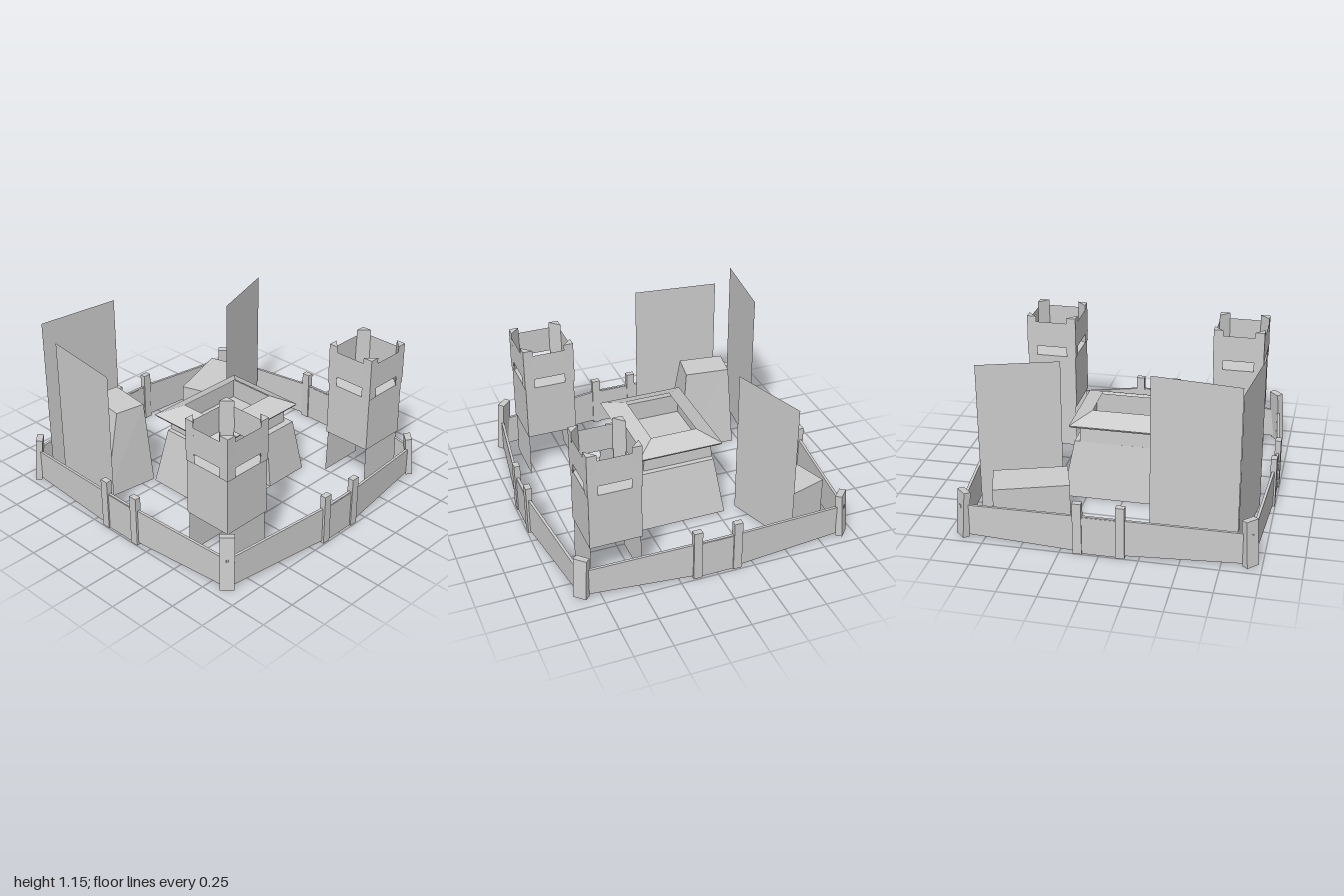
import * as THREE from 'three';

const mat = new THREE.MeshStandardMaterial({ color: 0xcccccc, flatShading: true, side: THREE.DoubleSide });

function add(parent, name, geo, x = 0, y = 0, z = 0, ry = 0) {
  const m = new THREE.Mesh(geo, mat);
  m.name = name;
  m.position.set(x, y, z);
  m.rotation.y = ry;
  parent.add(m);
  return m;
}

function group(parent, name, x = 0, z = 0, ry = 0) {
  const g = new THREE.Group();
  g.name = name;
  g.position.set(x, 0, z);
  g.rotation.y = ry;
  parent.add(g);
  return g;
}

const rect = (y, x0, x1, z0, z1) => [[x0, y, z1], [x1, y, z1], [x1, y, z0], [x0, y, z0]];

// Side faces between two four-cornered loops; skip lists open sides, cap closes the top
function loft(low, high, { skip = [], cap = false } = {}) {
  const p = [];
  const quad = (a, b, c, d) => p.push(...a, ...b, ...c, ...a, ...c, ...d);
  for (let i = 0; i < 4; i++) {
    const j = (i + 1) % 4;
    if (!skip.includes(i)) quad(low[i], low[j], high[j], high[i]);
  }
  if (cap) quad(...high);
  const g = new THREE.BufferGeometry();
  g.setAttribute('position', new THREE.Float32BufferAttribute(p, 3));
  g.computeVertexNormals();
  return g;
}

function polygon(points) {
  return new THREE.Shape(points.map(([x, y]) => new THREE.Vector2(x, y)));
}

// Wall between two ground points with a sloping top
function wall(parent, [x0, z0, h0], [x1, z1, h1]) {
  const len = Math.hypot(x1 - x0, z1 - z0);
  const shape = polygon([[0, 0.015], [len, 0.015], [len, h1], [0, h0]]);
  const geo = new THREE.ExtrudeGeometry(shape, { depth: 0.018, bevelEnabled: false });
  geo.translate(0, 0, -0.009);
  add(parent, 'wallSection', geo, x0, 0, z0, Math.atan2(z0 - z1, x1 - x0));
}

function perimeter(parent) {
  const g = group(parent, 'perimeterWall');
  // x, z, wall height, post height (corner posts and gate posts in order)
  const pts = [
    [-0.91, 0.87, 0.22, 0.37], [-0.135, 0.975, 0.26, 0.35], [0.135, 0.975, 0.26, 0.35],
    [0.89, 0.87, 0.195, 0.28], [0.972, 0.135, 0.26, 0.35], [0.972, -0.135, 0.26, 0.35],
    [0.9, -0.92, 0.22, 0.31], [0.135, -0.98, 0.26, 0.35], [-0.135, -0.98, 0.26, 0.35],
    [-0.93, -0.91, 0.22, 0.31], [-0.978, -0.135, 0.26, 0.35], [-0.978, 0.135, 0.26, 0.35],
  ];
  pts.forEach((p, i) => {
    const [x, z, , h] = p;
    wall(g, p, pts[(i + 1) % pts.length]);
    if (i % 3 === 0) {
      // Corner post, set across the corner and leaning slightly inward
      const geo = new THREE.BoxGeometry(0.09, h, 0.045);
      geo.translate(0, h / 2, 0);
      const post = add(g, 'cornerPost', geo, x, 0, z, Math.atan2(x, z));
      post.rotation.order = 'YXZ';
      post.rotation.x = -0.08;
    } else {
      const side = Math.abs(x) > Math.abs(z);
      add(g, 'gatePost', new THREE.BoxGeometry(side ? 0.04 : 0.057, h, side ? 0.057 : 0.04), x, h / 2, z);
    }
  });
  // Gate slabs reaching the ground
  for (const z of [0.975, -0.98]) add(g, 'gate', new THREE.BoxGeometry(0.22, 0.255, 0.022), 0, 0.1275, z);
  for (const x of [0.972, -0.978]) add(g, 'gate', new THREE.BoxGeometry(0.022, 0.255, 0.22), x, 0.1275, 0);
}

function tower(parent, name, x, z) {
  const g = group(parent, name, x, z);
  const sq = (y, s) => rect(y, -s, s, -s, s);
  // Lower storey stands on front and back walls only
  add(g, 'base', loft(sq(0, 0.168), sq(0.31, 0.163), { skip: [1, 3] }));
  add(g, 'shaft', loft(sq(0.31, 0.171), sq(0.69, 0.169), { cap: true }));
  add(g, 'parapet', loft(sq(0.76, 0.175), sq(0.94, 0.173)));
  for (let i = 0; i < 4; i++) {
    const corner = group(g, 'corner', 0, 0, i * Math.PI / 2);
    // Corner panel strips beside the lookout slits
    for (const s of [-1, 1])
      add(corner, 'slitJamb', new THREE.PlaneGeometry(0.063, 0.07), s * 0.138, 0.725, 0.17);
    // Triangular corner post rising above the parapet
    const tri = polygon([[0.174, -0.174], [0.174, -0.108], [0.108, -0.174]]);
    const geo = new THREE.ExtrudeGeometry(tri, { depth: 0.29, bevelEnabled: false });
    geo.rotateX(-Math.PI / 2);
    add(corner, 'cornerMerlon', geo, 0, 0.69, 0);
  }
}

function gatehouse(parent) {
  const g = group(parent, 'mainHouse');
  const low = rect(0, -0.41, 0.41, -0.3, 0.315), high = rect(0.39, -0.33, 0.335, -0.245, 0.28);
  add(g, 'base', loft(low, high, { skip: [0], cap: true }));

  // Battered front with an arched doorway, sheared back as it rises
  const front = polygon([[-0.41, 0], [-0.11, 0], [-0.11, 0.2]]);
  front.absarc(-0.015, 0.2, 0.095, Math.PI, 0, true);
  front.lineTo(0.08, 0);
  front.lineTo(0.41, 0);
  front.lineTo(0.335, 0.39);
  front.lineTo(-0.33, 0.39);
  const face = new THREE.ShapeGeometry(front, 8);
  const jamb = polygon([[-0.11, 0], [-0.11, 0.2]]);
  jamb.absarc(-0.015, 0.2, 0.095, Math.PI, 0, true);
  jamb.lineTo(0.08, 0);
  const recess = new THREE.ExtrudeGeometry(jamb, { depth: 0.14, bevelEnabled: false, curveSegments: 8 });
  recess.translate(0, 0, -0.14);
  // Leave the recess open toward the front
  const pos = recess.getAttribute('position'), kept = [];
  for (let i = 0; i < pos.count; i += 3) {
    const tri = [i, i + 1, i + 2];
    if (tri.every(k => pos.getZ(k) > -0.001)) continue;
    tri.forEach(k => kept.push(pos.getX(k), pos.getY(k), pos.getZ(k)));
  }
  const open = new THREE.BufferGeometry();
  open.setAttribute('position', new THREE.Float32BufferAttribute(kept, 3));
  for (const [name, geo] of [['frontWall', face], ['doorRecess', open]]) {
    const a = geo.getAttribute('position');
    for (let i = 0; i < a.count; i++) a.setZ(i, a.getZ(i) + 0.315 - 0.09 * a.getY(i));
    geo.computeVertexNormals();
    add(g, name, geo);
  }

  add(g, 'upperStorey', loft(rect(0.385, -0.3, 0.3, -0.245, 0.235), rect(0.53, -0.295, 0.295, -0.24, 0.23)));
  // Hipped roof skirt, open in the middle, with a thin lip
  const eave = rect(0.52, -0.4, 0.36, -0.295, 0.29);
  add(g, 'roof', loft(eave, rect(0.585, -0.25, 0.23, -0.16, 0.155)));
  add(g, 'eave', loft(rect(0.505, -0.39, 0.35, -0.285, 0.28), eave));
  add(g, 'soffit', loft(rect(0.505, -0.39, 0.35, -0.285, 0.28), rect(0.53, -0.295, 0.295, -0.24, 0.23)));
}

// Upright sheet between two ground points
function panel(parent, x0, z0, x1, z1, h) {
  add(parent, 'backdropPanel', new THREE.PlaneGeometry(Math.hypot(x1 - x0, z1 - z0), h),
    (x0 + x1) / 2, h / 2, (z0 + z1) / 2, Math.atan2(z0 - z1, x1 - x0));
}

export function createModel() {
  const model = new THREE.Group();
  model.name = 'fortress';
  perimeter(model);
  tower(model, 'leftTower', 0.67, 0.617);
  tower(model, 'rightTower', -0.65, 0.617);
  gatehouse(model);

  // Tapered keep, turned slightly
  add(model, 'keep', loft(
    [[-0.79, 0, -0.37], [-0.405, 0, -0.32], [-0.355, 0, -0.7], [-0.74, 0, -0.75]],
    [[-0.64, 0.585, -0.4], [-0.435, 0.585, -0.365], [-0.4, 0.585, -0.67], [-0.6, 0.585, -0.7]],
    { cap: true }));

  // Flat-roofed shed, open underneath
  const shed = y => [[0.33, y, -0.455], [0.785, y, -0.61], [0.71, y, -0.865], [0.25, y, -0.705]];
  add(model, 'shed', loft(shed(0), shed(0.31), { cap: true }));

  panel(model, -0.84, -0.865, -0.28, -0.8, 1.15);
  panel(model, -0.9, -0.16, -0.83, -0.745, 1.05);
  panel(model, 0.38, -0.39, 0.89, -0.56, 1.015);
  return model;
}
